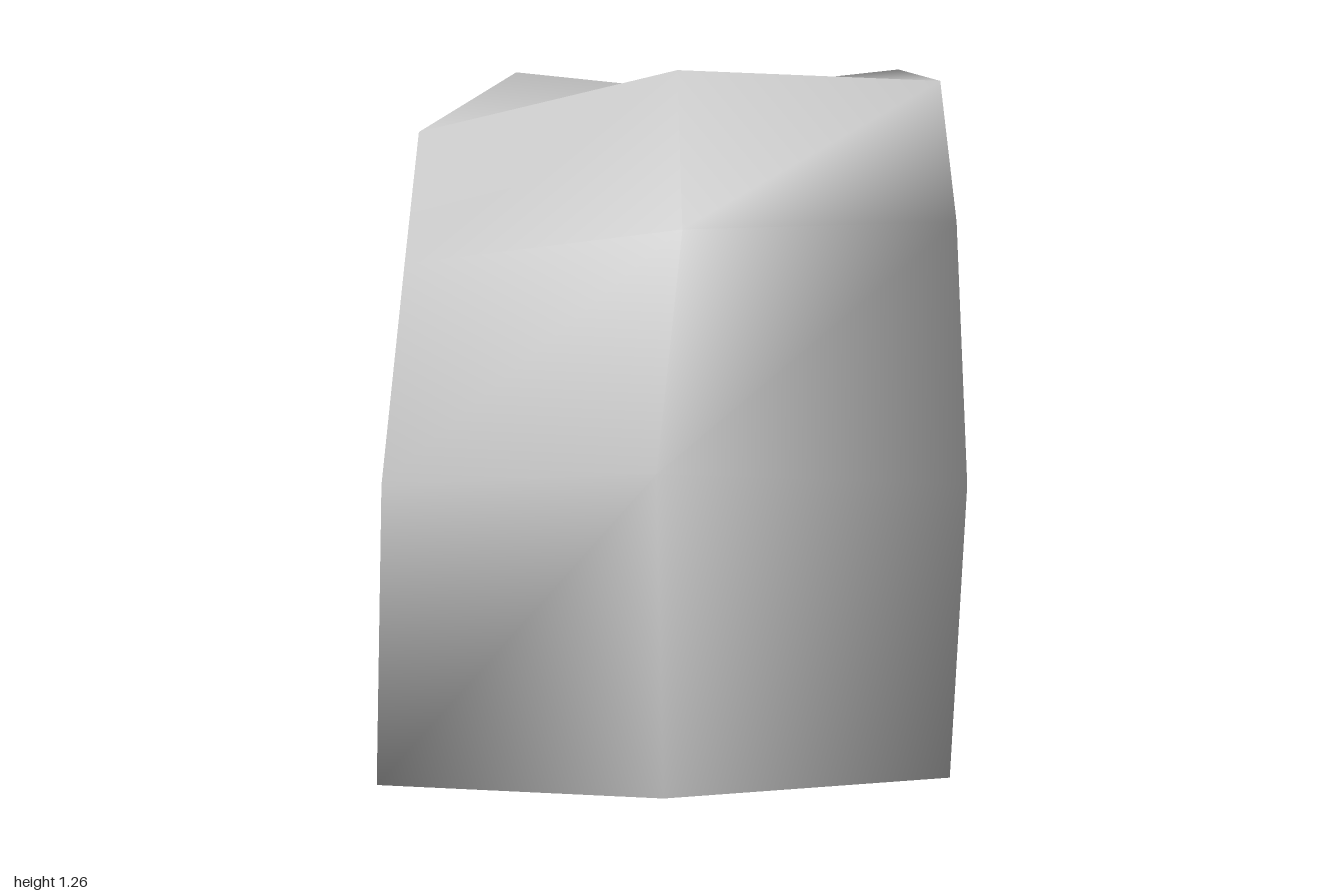
import * as THREE from 'three';

// Six-sided cross-sections from the ground up.
// Order: left front, mid front, right front, right back, mid back, left back.
const rings = [
  [[-0.8, 0, 0.68], [-0.3, 0, 0.91], [0.25, 0, 1], [0.79, 0, -0.72], [0.29, 0, -0.96], [-0.26, 0, -1]],
  [[-0.76, 0.58, 0.62], [-0.27, 0.6, 0.78], [0.28, 0.58, 0.97], [0.67, 0.53, -0.55], [0.24, 0.63, -0.79], [-0.26, 0.6, -0.93]],
  [[-0.63, 0.92, 0.29], [-0.14, 1.01, 0.55], [0.37, 1.02, 0.7], [0.59, 0.81, -0.37], [0.2, 0.84, -0.55], [-0.17, 0.89, -0.59]],
  [[-0.52, 1.12, -0.03], [-0.03, 1.26, 0.2], [0.5, 1.23, 0.33], [0.63, 1.17, -0.17], [0.18, 1.13, -0.26], [-0.22, 1.18, -0.35]],
];

export function createModel() {
  const sides = 6;
  const index = [];

  // Walls: join each cross-section to the one above
  for (let r = 0; r < rings.length - 1; r++) {
    for (let s = 0; s < sides; s++) {
      const a = r * sides + s;
      const b = r * sides + (s + 1) % sides;
      index.push(a, b, b + sides, a, b + sides, a + sides);
    }
  }

  // Crown: fan around the sunken mid back corner; underside: flat fan
  const top = (rings.length - 1) * sides;
  for (let k = 1; k < sides - 1; k++) {
    index.push(top + 4, top + (4 + k) % sides, top + (5 + k) % sides);
    index.push(0, k + 1, k);
  }

  // Shared corners give smooth normals over the whole boulder
  const geometry = new THREE.BufferGeometry();
  geometry.setAttribute('position', new THREE.Float32BufferAttribute(rings.flat(2), 3));
  geometry.setIndex(index);
  geometry.computeVertexNormals();

  const boulder = new THREE.Mesh(geometry, new THREE.MeshStandardMaterial({ color: 0xcccccc }));
  boulder.name = 'boulder';

  const group = new THREE.Group();
  group.name = 'rock';
  group.add(boulder);
  return group;
}
